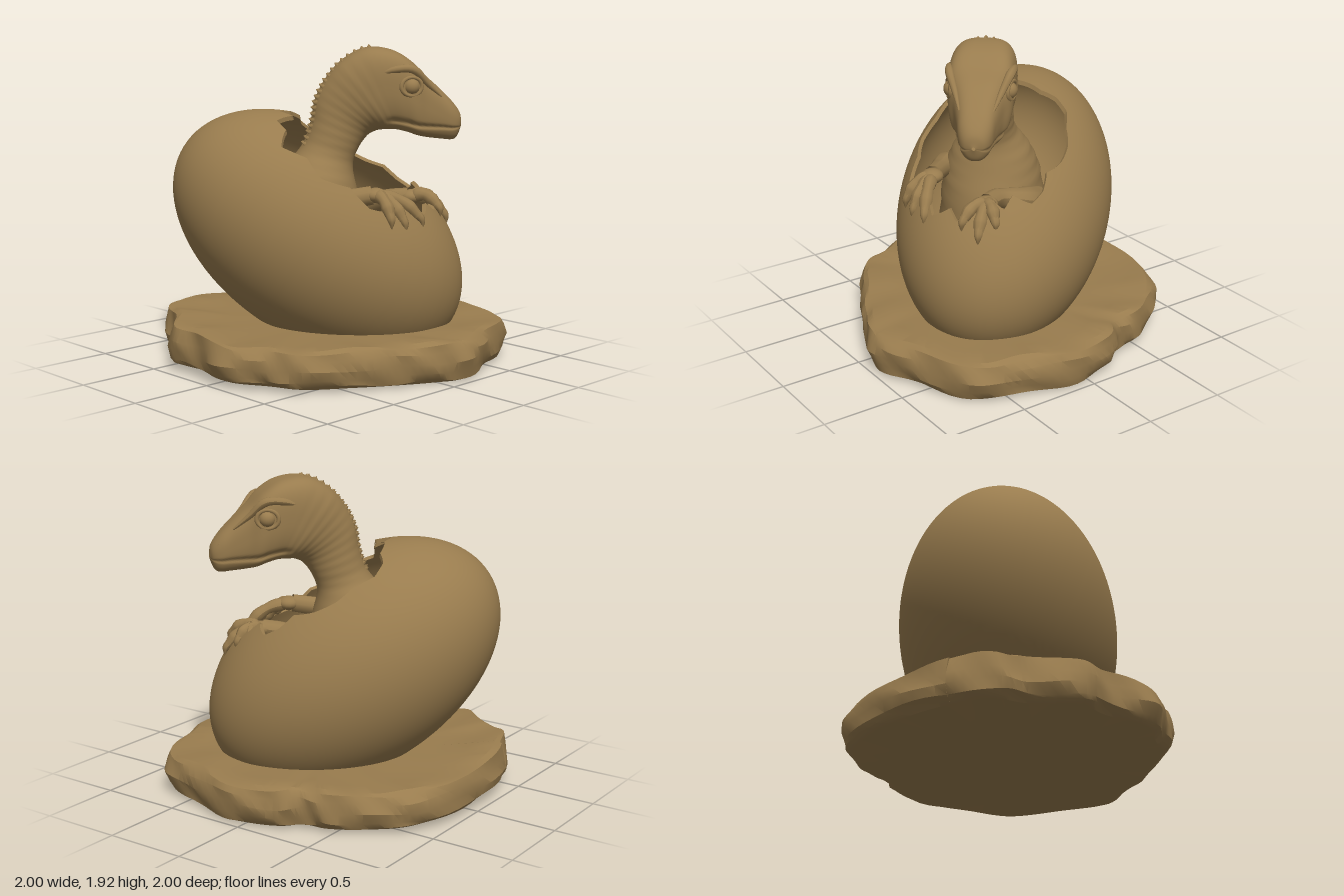
import * as THREE from 'three';
import { toCreasedNormals } from 'three/addons/utils/BufferGeometryUtils.js';

const V = (x, y, z) => new THREE.Vector3(x, y, z);

// Skin a list of closed rings that all hold the same number of points
function loft(rings) {
  const n = rings[0].length, index = [];
  for (let i = 0; i < rings.length - 1; i++) {
    for (let j = 0; j < n; j++) {
      const a = i * n + j, b = i * n + (j + 1) % n;
      index.push(a, b, a + n, b, b + n, a + n);
    }
  }
  const geo = new THREE.BufferGeometry().setFromPoints(rings.flat());
  geo.setIndex(index);
  geo.computeVertexNormals();
  return geo;
}

// Tube whose radius follows a list of values along its path
function taperedTube(points, radii, steps = 20, sides = 10) {
  const curve = new THREE.CatmullRomCurve3(points.map(p => V(...p)));
  const geo = new THREE.TubeGeometry(curve, steps, 1, sides);
  const pos = geo.attributes.position, p = V();
  for (let i = 0; i < pos.count; i++) {
    const u = Math.floor(i / (sides + 1)) / steps;
    const k = u * (radii.length - 1), a = Math.min(Math.floor(k), radii.length - 2);
    const r = THREE.MathUtils.lerp(radii[a], radii[a + 1], k - a);
    const c = curve.getPointAt(u);
    p.fromBufferAttribute(pos, i).sub(c).multiplyScalar(r).add(c);
    pos.setXYZ(i, p.x, p.y, p.z);
  }
  geo.computeVertexNormals();
  return geo;
}

export function createModel() {
  const clay = new THREE.MeshStandardMaterial({ color: 0x997c4e, side: THREE.DoubleSide });
  clay.name = 'brown clay';
  const model = new THREE.Group();
  model.name = 'hatchling';
  const body = new THREE.Group(); // local +z is the way the animal looks
  body.name = 'eggAndAnimal';
  body.rotation.y = Math.PI / 4;
  model.add(body);
  const animal = new THREE.Group();
  animal.name = 'animal';
  animal.position.x = -.04;
  animal.rotation.y = .07;
  body.add(animal);
  const add = (name, geo, parent) => {
    const mesh = new THREE.Mesh(geo, clay);
    mesh.name = name;
    parent.add(mesh);
    return mesh;
  };

  // Rough stone slab
  const outline = [[0, -1], [.49, -.9], [.68, -.71], [.81, -.48], [.83, -.32], [.93, -.21], [1, .08],
    [.91, .43], [.81, .72], [.46, .89], [.17, 1], [-.02, .94], [-.26, .83], [-.5, .7], [-.77, .53],
    [-.87, .35], [-1, .12], [-.95, -.19], [-.96, -.4], [-.76, -.64], [-.69, -.8], [-.45, -.94]];
  const edge = new THREE.CatmullRomCurve3(outline.reverse().map(([x, z]) => V(x, 0, z)), true).getPoints(131);
  const levels = [[.001, 0], [.92, 0], [.96, .02], [.98, .07], [.995, .13], [.985, .19], [.965, .23],
    [.93, .245], [.8, .24], [.6, .235], [.001, .235]];
  const slab = levels.map(([k, y], l) => edge.map((p, j) => {
    const side = l > 1 && l < 9 ? 1 : 0;
    const chip = side * .006 * (Math.sin(j * .9 + l * 1.7) + Math.sin(j * .37 - l * 2.3));
    const x = p.x * (k + chip), z = p.z * (k + chip);
    const back = Math.max(0, -(x + z) / 1.4 - .5) * .1;
    const tilt = .015 * Math.max(0, 1 - x - z);
    const wave = side * .007 * Math.sin(j * .53 + l * 1.1);
    return V(x, Math.max(0, y + wave + (l > 5 ? back : 0) + (l < 3 ? tilt : 0)), z);
  }));
  add('stoneBase', toCreasedNormals(loft(slab), .55), model);

  // Egg shell with a jagged opening around its upper front pole
  const place = new THREE.Matrix4().compose(V(.039, .76, -.09),
    new THREE.Quaternion().setFromEuler(new THREE.Euler(.588, -.07, 0, 'YXZ')), V(.648, .64, .98));
  const jags = [.03, -.05, .04, .07, -.05, .03, -.06, .04, -.03, .05, -.04, .05, -.05, .06, .1, .0,
    .1, .05, .17, .05, .09, -.03, .08, .04, .06, .07, .15, .17, .09, .08];
  const COUNT = 180, ROWS = 40;
  const rimAngle = j => {
    const t = j / COUNT * Math.PI * 2, k = j / COUNT * jags.length, a = Math.floor(k);
    const jag = THREE.MathUtils.lerp(jags[a], jags[(a + 1) % jags.length], k - a);
    return 1 / Math.hypot(Math.cos(t) / .75, Math.sin(t) / .53) - .05 * Math.sin(t) - .1 * Math.cos(t) + jag;
  };
  const shellRing = (u, scale, floor) => Array.from({ length: COUNT }, (_, j) => {
    const t = j / COUNT * Math.PI * 2, f = THREE.MathUtils.lerp(rimAngle(j), Math.PI, u);
    const p = V(Math.sin(f) * Math.cos(t), Math.cos(f), Math.sin(f) * Math.sin(t));
    p.multiplyScalar(scale).applyMatrix4(place);
    p.y = Math.max(p.y, floor);
    return p;
  });
  const shell = (scale, floor) => Array.from({ length: ROWS + 1 }, (_, i) => shellRing(i / ROWS, scale, floor));
  const outer = shell(1, .1), inner = shell(.965, .13);
  add('eggShell', loft(outer), body);
  add('eggLining', loft(inner.slice().reverse()), body);
  add('brokenRim', loft([inner[0], outer[0]]), body);

  // Trunk, neck and head as one skin: back z, back y, throat z, throat y, half width, squareness
  const sections = [
    [-.5, .8, .22, .5, .33, 0], [-.42, 1.05, .2, .85, .3, 0], [-.28, 1.2, .15, 1.05, .24, 0],
    [-.175, 1.33, .125, 1.2, .155, 0], [-.13, 1.46, .16, 1.3, .143, 0], [-.105, 1.59, .21, 1.37, .145, 0],
    [-.045, 1.71, .26, 1.4, .16, .1], [.05, 1.82, .32, 1.41, .18, .3], [.2, 1.9, .38, 1.41, .19, .4],
    [.36, 1.885, .45, 1.395, .19, .5], [.47, 1.82, .51, 1.375, .18, .55], [.55, 1.74, .58, 1.36, .14, .45],
    [.64, 1.66, .66, 1.35, .112, .35], [.72, 1.58, .72, 1.345, .092, .25], [.77, 1.51, .755, 1.365, .06, .1],
    [.782, 1.445, .78, 1.425, .01, 0]];
  const backLine = new THREE.CatmullRomCurve3(sections.map(s => V(s[4], s[1], s[0])));
  const throatLine = new THREE.CatmullRomCurve3(sections.map(s => V(s[5], s[3], s[2])));
  const skin = [];
  for (let i = 0; i <= 105; i++) {
    const u = i / 105, top = backLine.getPoint(u), low = throatLine.getPoint(u);
    const head = THREE.MathUtils.smoothstep(u, .47, .56);
    const mouth = THREE.MathUtils.lerp(-.72, -.2, THREE.MathUtils.clamp((u - .5) / .42, 0, 1) ** 2);
    const ring = [];
    for (let j = 0; j < 96; j++) {
      const t = j / 96 * Math.PI * 2, c = Math.cos(t), s = Math.sin(t);
      const groove = 1 - head * .13 * Math.exp(-(((s - mouth) / .07) ** 2));
      const wrinkle = 1 + (1 - head) * .012 * Math.sin(u * 190 + 3 * s);
      const e = 1 - low.x;
      const x = top.x * Math.sign(c) * Math.abs(c) ** e * groove * wrinkle * (1 + head * .1 * s);
      const h = Math.sign(s) * Math.abs(s) ** (1 - low.x * .4) * .5 + .5;
      ring.push(V(x, THREE.MathUtils.lerp(low.y, top.y, h), THREE.MathUtils.lerp(low.z, top.z, h)));
    }
    skin.push(ring);
  }
  add('neckAndHead', loft(skin), animal);

  // Rows of small scales down the crown and nape
  for (let i = 0; i < 60; i++) {
    const u = .2 + Math.floor(i / 3) * .018, p = backLine.getPoint(u), d = backLine.getTangent(u);
    const out = V(0, d.z, -d.y).normalize(), side = i % 3 - 1;
    const scale = add('napeScale', new THREE.ConeGeometry(.022, .026, 6), animal);
    scale.position.set(side * .045, p.y, p.z).addScaledVector(out, side ? -.004 : .003);
    scale.quaternion.setFromUnitVectors(V(0, 1, 0), out);
  }

  // Eyes, lids, brows and nostrils on both sides
  for (const m of [-1, 1]) {
    const eye = add('eye', new THREE.SphereGeometry(.05, 20, 14), animal);
    eye.position.set(m * .16, 1.675, .46);
    const lid = add('eyelid', new THREE.TorusGeometry(.064, .014, 8, 28), animal);
    lid.position.set(m * .176, 1.675, .46);
    lid.rotation.y = m * 1.3;
    lid.scale.y = .85;
    add('brow', taperedTube([[m * .17, 1.74, .25], [m * .182, 1.775, .36], [m * .172, 1.775, .47],
      [m * .13, 1.69, .56], [m * .095, 1.61, .65]], [.008, .022, .026, .018, .006]), animal);
    const nostril = add('nostril', new THREE.TorusGeometry(.014, .005, 6, 14), animal);
    nostril.position.set(m * .076, 1.51, .725);
    nostril.rotation.y = m * 1.1;
  }

  // Arms, each with three clawed fingers hooked over the rim
  const arms = [
    { name: 'rightArm', arm: [[-.2, .92, -.25], [-.32, .98, -.12], [-.34, 1.02, .08], [-.34, 1.05, .24]],
      palm: [-.34, 1.05, .26], tips: [[-.48, .91, .35], [-.42, .88, .43], [-.33, .89, .53]] },
    { name: 'leftArm', arm: [[.24, .82, .0], [.2, .9, .18], [.07, .97, .34], [.03, .99, .47]],
      palm: [.03, .99, .48], tips: [[-.08, .92, .65], [.02, .86, .69], [.11, .92, .63]] }];
  for (const { name, arm, palm, tips } of arms) {
    const limb = new THREE.Group();
    limb.name = name;
    body.add(limb);
    add('forearm', taperedTube(arm, [.1, .085, .06, .055]), limb);
    const hand = add('palm', new THREE.SphereGeometry(.068, 16, 12), limb);
    hand.position.set(...palm);
    hand.scale.y = .65;
    for (const tip of tips) {
      const at = (k, lift) => palm.map((v, i) => v + (tip[i] - v) * k + (i === 1 ? lift : 0));
      add('finger', taperedTube([palm, at(.4, .045), at(.7, .05), at(.92, .025)],
        [.032, .042, .034, .04, .028]), limb);
      add('claw', taperedTube([at(.84, .035), at(1, .015), at(1.03, -.035)], [.032, .024, .002], 10, 8), limb);
    }
  }
  return model;
}
